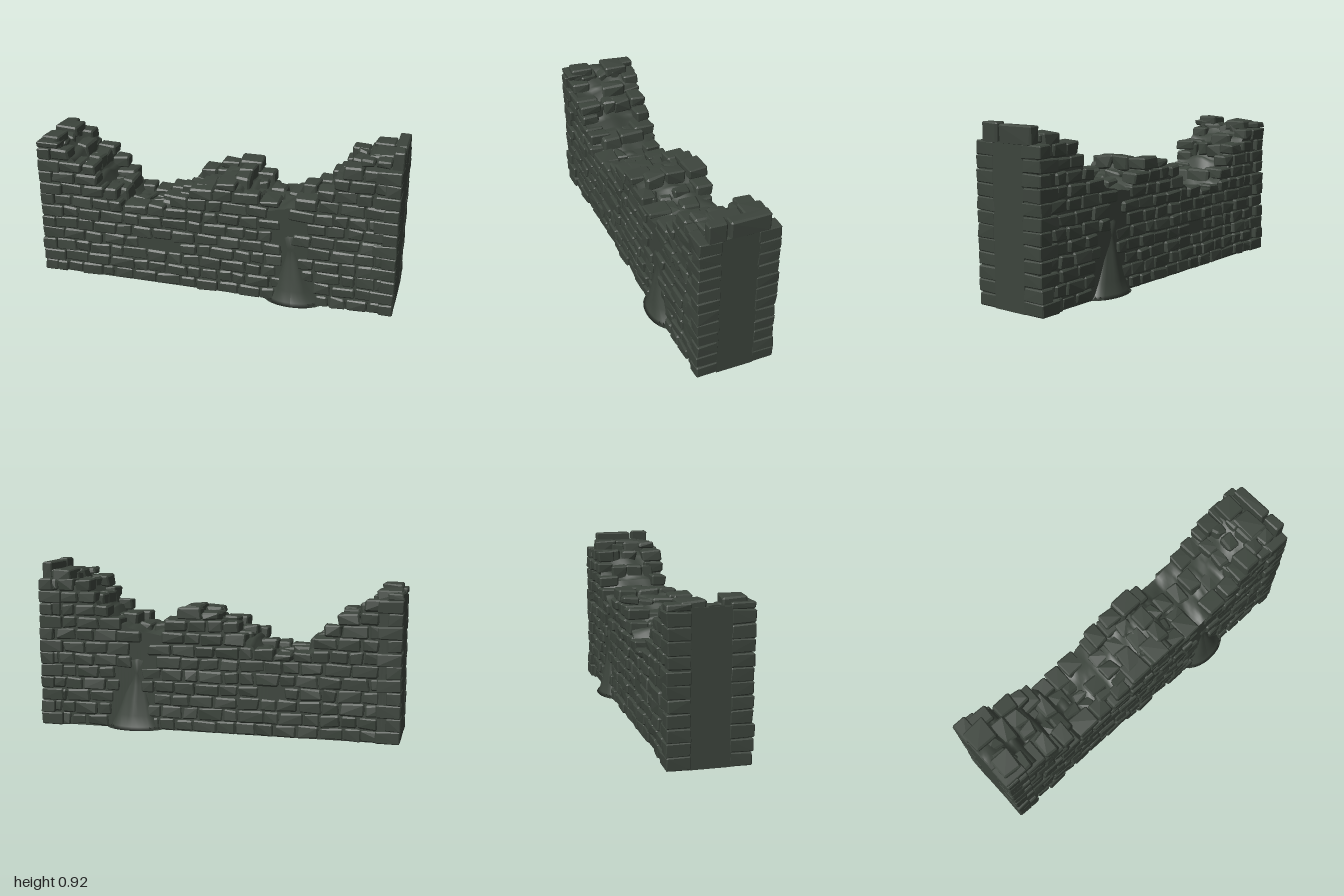
import * as THREE from 'three';
import { mergeGeometries } from 'three/addons/utils/BufferGeometryUtils.js';
import { ConvexGeometry } from 'three/addons/geometries/ConvexGeometry.js';

const stone = new THREE.MeshStandardMaterial({ color: 0x3c443c });
stone.name = 'dark mossy stone';

let seed = 7;
const rnd = () => {
  seed = (seed * 16807) % 2147483647;
  return seed / 2147483647;
};
const range = (a, b) => a + (b - a) * rnd();
const clamp = THREE.MathUtils.clamp;

// Broken top edge of the wall: [start x, height] of each step
const steps = [
  [-1, 0.8], [-0.85, 0.75], [-0.78, 0.68], [-0.7, 0.615], [-0.63, 0.55], [-0.54, 0.51],
  [-0.49, 0.465], [-0.42, 0.45], [-0.33, 0.495], [-0.23, 0.57], [-0.11, 0.615], [-0.01, 0.66],
  [0.1, 0.705], [0.18, 0.64], [0.22, 0.615], [0.28, 0.585], [0.4, 0.605], [0.5, 0.63],
  [0.61, 0.7], [0.66, 0.76], [0.72, 0.83], [0.8, 0.865],
];
function wallTop(x) {
  let h = steps[0][1];
  for (const [sx, sh] of steps) if (x >= sx) h = sh;
  return h;
}

// Chipped block: a chamfered box whose corners are slightly displaced
function block(x0, x1, y0, y1, z0, z1, jitter = 0.005, bevel = 0.009) {
  const lo = [x0, y0, z0], hi = [x1, y1, z1], pts = [];
  for (let c = 0; c < 8; c++) {
    const s = [c & 1 ? 1 : -1, c & 2 ? 1 : -1, c & 4 ? 1 : -1];
    const p = s.map((k, i) => (k > 0 ? hi[i] : lo[i]) + range(-jitter, jitter));
    const b = bevel * range(0.5, 1.2);
    for (let keep = 0; keep < 3; keep++) {
      const q = p.map((v, i) => (i === keep ? v : v - s[i] * b));
      pts.push(new THREE.Vector3(clamp(q[0], -1, 1), Math.max(0, q[1]), q[2]));
    }
  }
  const g = new ConvexGeometry(pts);
  g.deleteAttribute('uv');
  return g;
}

// Places where the facing has fallen off and bare fill shows
function isBare(x, y) {
  const breach = y < 0.3 ? 0.1 - y * 0.2 : y < 0.42 ? 0.03 : 0.075;
  const cx = y < 0.35 ? 0.46 : 0.4;
  return Math.abs(x - cx) < breach || Math.hypot((x + 0.28) / 0.08, (y - 0.25) / 0.05) < 1;
}

const ROW = 0.0685;

// Running courses of facing bricks on one side of the wall
function facing(side) {
  const parts = [];
  for (let row = 0; row < 13; row++) {
    const y0 = row * ROW;
    let x = -0.93 + (row % 2) * 0.05;
    while (x < 0.92) {
      const w = range(0.075, 0.145);
      const x1 = Math.min(x + w, 0.94);
      const mid = (x + x1) / 2;
      const room = wallTop(mid) - y0;
      if (room > 0.025 && !isBare(mid, y0 + ROW / 2)) {
        const top = y0 + Math.min(ROW, room) - 0.004;
        const out = range(0.192, 0.207) - (y0 > 0.8 ? 0.03 : 0);
        const inner = room < 0.16 ? range(0.07, 0.12) : 0.13;
        const z = [inner * side, out * side].sort((a, b) => a - b);
        parts.push(block(x + 0.003, x1 - 0.003, y0 + 0.002, top, z[0], z[1]));
      }
      x = x1;
    }
  }
  return mergeGeometries(parts);
}

// Larger cornerstones, alternating long and short
function cornerstones(end) {
  const parts = [];
  for (const side of [-1, 1]) {
    for (let row = 0; row < 12; row++) {
      const y0 = row * ROW;
      const room = Math.min(0.825, wallTop(end * 0.97) - 0.01) - y0;
      if (room < 0.025) continue;
      const len = (row + (side > 0 ? 1 : 0)) % 2 ? 0.08 : 0.13;
      const xs = [end * (1 - len), end * 0.998].sort((a, b) => a - b);
      const zs = [side * 0.095, side * range(0.207, 0.217)].sort((a, b) => a - b);
      parts.push(block(xs[0], xs[1], y0 + 0.001, y0 + Math.min(ROW, room) - 0.002, zs[0], zs[1], 0.003, 0.006));
    }
  }
  return mergeGeometries(parts);
}

// Solid fill with an uneven, slightly sunken top
function fill() {
  const g = new THREE.BoxGeometry(1.98, 1, 0.372, 110, 1, 12);
  const p = g.attributes.position;
  for (let i = 0; i < p.count; i++) {
    const x = p.getX(i), z = p.getZ(i);
    if (p.getY(i) < 0) {
      p.setY(i, 0);
      continue;
    }
    let h = 0;
    for (let k = -2; k <= 2; k++) h += wallTop(clamp(x + k * 0.03, -1, 1)) / 5;
    h = Math.min(h, wallTop(x)) - 0.03 - 0.02 * Math.abs(z) / 0.186;
    h += 0.014 * Math.sin(x * 31 + z * 9) * Math.cos(z * 24 + x * 7);
    p.setY(i, Math.min(h, 0.82));
  }
  g.computeVertexNormals();
  return g;
}

// Loose stones lying across the thickness of the broken top
function rubble() {
  const parts = [];
  let x = -0.96;
  while (x < 0.86) {
    const w = range(0.07, 0.11);
    let z = range(-0.13, -0.09);
    while (z < 0.1) {
      const d = range(0.06, 0.14);
      const top = wallTop(x + w / 2) - range(0, 0.035);
      if (rnd() < 0.72) {
        parts.push(block(x + 0.004, x + w - 0.004, top - 0.08, top, z + 0.004, Math.min(z + d, 0.14), 0.009, 0.011));
      }
      z += d;
    }
    x += w;
  }
  return mergeGeometries(parts);
}

// Earth heap spilling from the breach, flattened against the wall
function heap(side) {
  const profile = [[0, 0], [0.17, 0], [0.145, 0.018], [0.115, 0.08], [0.085, 0.16], [0.06, 0.24], [0.045, 0.31], [0.055, 0.38], [0, 0.42]];
  const g = new THREE.LatheGeometry(profile.map(([r, y]) => new THREE.Vector2(r, y)), 28);
  const p = g.attributes.position;
  for (let i = 0; i < p.count; i++) {
    const x = p.getX(i), y = p.getY(i), z = p.getZ(i);
    const ripple = 1 + 0.05 * Math.sin(Math.atan2(z, x) * 7) * Math.min(1, y * 15);
    p.setXYZ(i, 0.455 + x * ripple - y * 0.05, y, side * 0.15 + z * ripple * (0.62 + y * 0.6));
  }
  g.computeVertexNormals();
  return g;
}

export function createModel() {
  const group = new THREE.Group();
  group.name = 'ruinedWall';
  const add = (name, geometry) => {
    const mesh = new THREE.Mesh(geometry, stone);
    mesh.name = name;
    group.add(mesh);
  };
  add('wallFill', fill());
  add('frontFacingBricks', facing(1));
  add('backFacingBricks', facing(-1));
  add('leftCornerstones', cornerstones(1));
  add('rightCornerstones', cornerstones(-1));
  add('topRubble', rubble());
  add('frontEarthHeap', heap(1));
  add('backEarthHeap', heap(-1));

  // Flat end slabs between the cornerstones
  for (const end of [-1, 1]) {
    const h = end > 0 ? 0.82 : 0.77;
    const slab = new THREE.BoxGeometry(0.04, h, 0.2);
    slab.translate(end * 0.976, h / 2, 0);
    add(end > 0 ? 'leftEndSlab' : 'rightEndSlab', slab);
  }

  // Capstones on the two high ends
  add('capstones', mergeGeometries([
    block(0.94, 0.998, 0.81, 0.915, 0.07, 0.165, 0.002),
    block(0.94, 0.998, 0.81, 0.908, -0.155, 0.055, 0.002),
    block(0.82, 0.93, 0.79, 0.87, -0.18, -0.06),
    block(0.83, 0.94, 0.79, 0.865, -0.05, 0.1),
    block(-0.98, -0.87, 0.74, 0.81, 0.06, 0.18),
    block(-0.99, -0.86, 0.74, 0.8, -0.15, -0.02),
  ]));
  return group;
}
